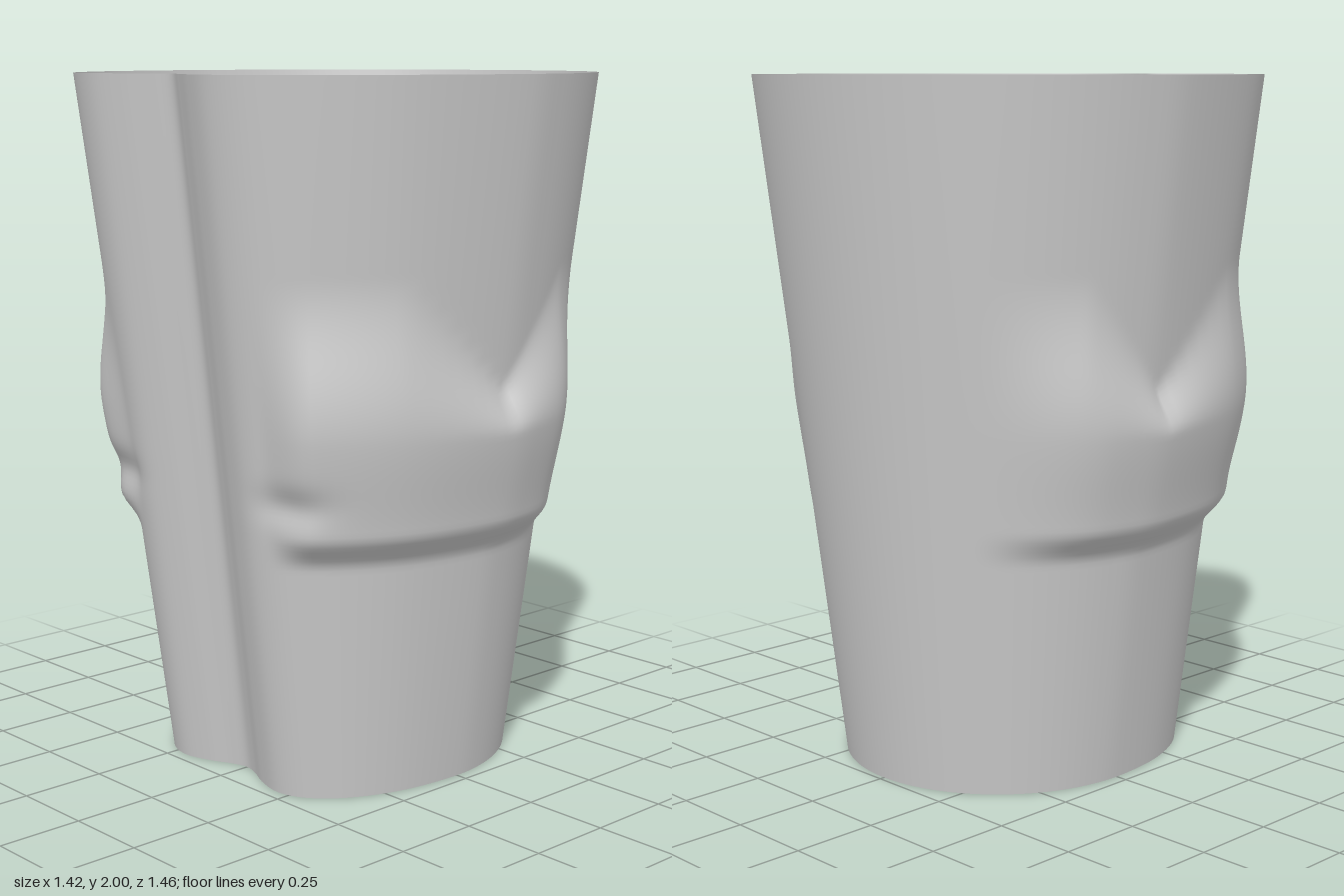
import * as THREE from 'three';

const SIDES = 200, ROWS = 130, HEIGHT = 2;
const { smoothstep, degToRad, lerp } = THREE.MathUtils;
const bell = (v, centre, width) => Math.exp(-(((v - centre) / width) ** 2));

// Closed outline: elliptical back, two front lobes with a notch between them.
function outline(halfWidth, back, front) {
  const half = front.map(([x, z]) => [x, z]); // notch round to the widest point
  for (let i = 0; i <= 8; i++) {
    const t = (i / 8) * Math.PI / 2;
    half.push([halfWidth * Math.cos(t), -back * Math.sin(t)]);
  }
  const other = half.slice(1, -1).reverse().map(([x, z]) => [-x, z]);
  const points = [...half, ...other].map(([x, z]) => new THREE.Vector3(x, 0, z));
  const curve = new THREE.CatmullRomCurve3(points, true, 'centripetal');
  return Array.from({ length: SIDES }, (_, i) => curve.getPoint(i / SIDES));
}

// Outward swelling on each side; angle is measured from the front notch.
function swelling(angle, y) {
  const a = THREE.MathUtils.radToDeg(Math.abs(angle));
  const mask = smoothstep(a, 26, 40) * (1 - smoothstep(a, 108, 145));
  // the upper edge dips in a V at the middle of the side
  const dip = Math.max(0, 1 - Math.abs(a - 91) / (a < 91 ? 30 : 23));
  const top = 1.48 - 0.32 * dip;
  const fall = 0.13 + (top - 1.16) * 0.95;
  const lower = smoothstep(y, 0.68, 0.78) * (0.055 + 0.02 * smoothstep(y, 0.75, 1.05));
  const upper = 1 - smoothstep(y, top - fall, top);
  // small fold near the front end
  const fold = 0.022 * bell(y, 0.86, 0.05) * bell(a, 34, 8);
  return mask * lower * upper - fold;
}

function wallGeometry() {
  const lower = outline(0.465, 0.485, [
    [0, 0.4], [0.05, 0.413], [0.12, 0.445], [0.21, 0.465], [0.29, 0.44], [0.37, 0.36], [0.44, 0.2]]);
  const upper = outline(0.71, 0.73, [
    [0, 0.64], [0.06, 0.665], [0.15, 0.707], [0.25, 0.73], [0.36, 0.7], [0.49, 0.58], [0.63, 0.36]]);
  const positions = [], index = [];
  for (let r = 0; r <= ROWS; r++) {
    const t = r / ROWS, y = t * HEIGHT;
    for (let s = 0; s < SIDES; s++) {
      const x = lerp(lower[s].x, upper[s].x, t);
      const z = lerp(lower[s].z, upper[s].z, t);
      const angle = Math.atan2(x, z);
      const out = swelling(angle, y);
      positions.push(x + out * Math.sin(angle), y, z + out * Math.cos(angle));
      if (r < ROWS) {
        const a = r * SIDES + s, b = r * SIDES + (s + 1) % SIDES;
        index.push(a, b, b + SIDES, a, b + SIDES, a + SIDES);
      }
    }
  }
  const geometry = new THREE.BufferGeometry();
  geometry.setAttribute('position', new THREE.Float32BufferAttribute(positions, 3));
  geometry.setIndex(index);
  geometry.computeVertexNormals();
  return geometry;
}

export function createModel() {
  const group = new THREE.Group();
  group.name = 'taperedSleeve';
  // thin open wall, seen from inside and outside
  const wall = new THREE.Mesh(
    wallGeometry(),
    new THREE.MeshStandardMaterial({ color: 0xcccccc, side: THREE.DoubleSide }),
  );
  wall.name = 'sleeveWall';
  group.add(wall);
  return group;
}
